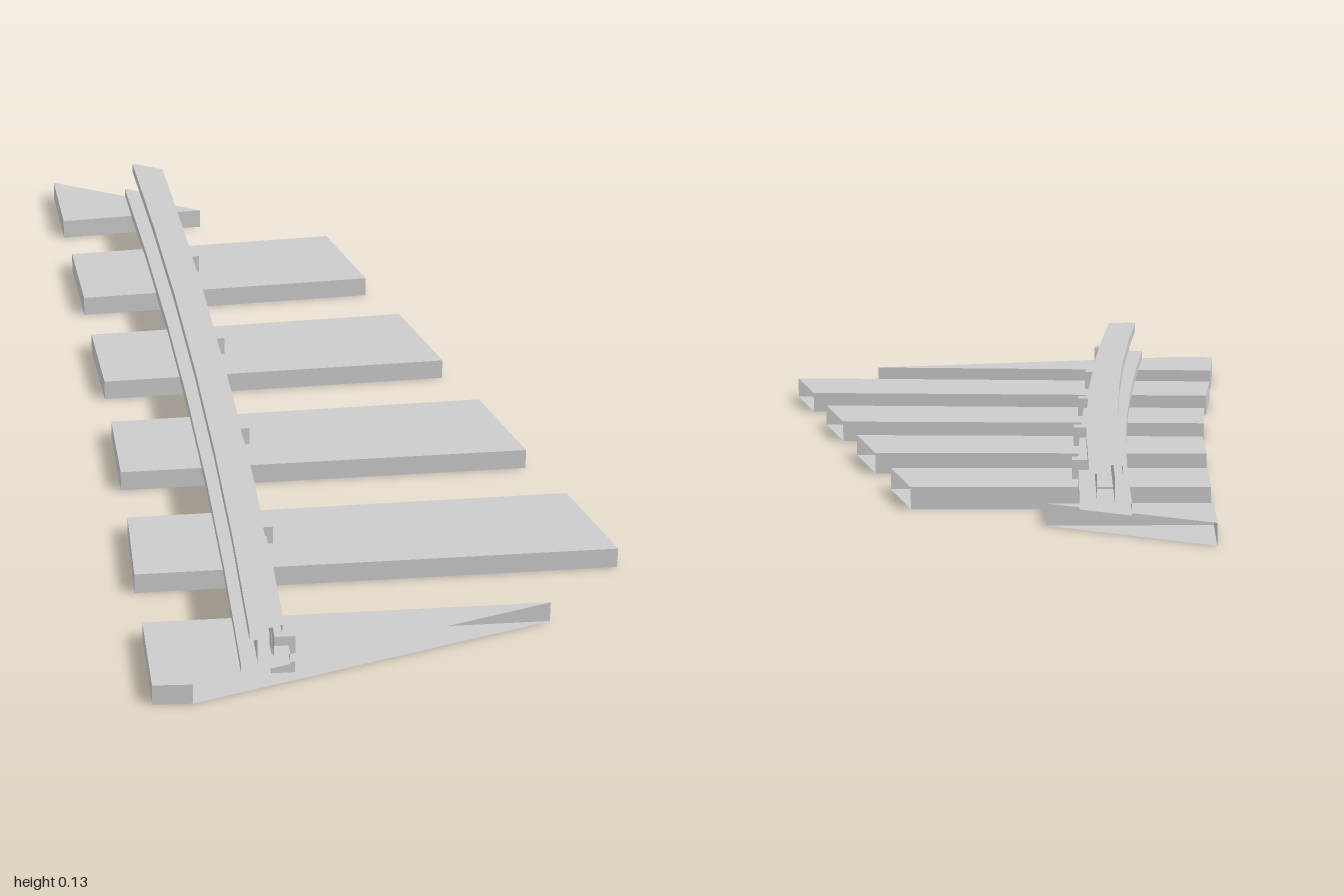
import * as THREE from 'three';

const material = new THREE.MeshStandardMaterial({
  color: 0xcccccc, flatShading: true, side: THREE.DoubleSide,
});

// Rail centre line: x as a gentle curve of z, and its sideways slope
const railX = (z) => -0.003 - 0.257 * z - 0.0267 * z * z;
const slope = (z) => 0.257 + 0.0534 * z;

// Flat-sided mesh from a list of triangle corners
function meshFrom(points, name) {
  const geometry = new THREE.BufferGeometry().setFromPoints(points);
  geometry.computeVertexNormals();
  const mesh = new THREE.Mesh(geometry, material);
  mesh.name = name;
  return mesh;
}

const quad = (a, b, c, d) => [a, b, c, a, c, d];

// Slab with the given outline (clockwise from above); one cut end stays open
function createSleeper(outline, openEdge) {
  const height = 0.042;
  const low = outline.map(([x, z]) => new THREE.Vector3(x, 0, z));
  const high = outline.map(([x, z]) => new THREE.Vector3(x, height, z));
  const points = [];
  const n = outline.length;
  for (let i = 0; i < n; i++) {
    const j = (i + 1) % n;
    if (i !== openEdge) points.push(...quad(low[i], high[i], high[j], low[j]));
    if (i > 0 && i < n - 1) {
      points.push(high[0], high[j], high[i], low[0], low[i], low[j]);
    }
  }
  return meshFrom(points, 'sleeper');
}

// I-section swept along the curve, square at the front, cut diagonally at the back
function createRail() {
  const half = [
    [0.047, 0.038], [0.047, 0.06], [0.016, 0.06],
    [0.016, 0.108], [0.031, 0.108], [0.031, 0.128],
  ];
  const profile = [...half, ...half.map(([u, y]) => [-u, y]).reverse()];
  const segments = 6;

  const at = ([u, y], t) => {
    const offset = u * 1.035;
    let end = -0.83;
    for (let k = 0; k < 8; k++) end = railX(end) + offset - 1.03;
    const z = THREE.MathUtils.lerp(1, end, t);
    return new THREE.Vector3(railX(z) + offset, y, z);
  };

  const points = [];
  for (let s = 0; s < segments; s++) {
    const t0 = s / segments, t1 = (s + 1) / segments;
    profile.forEach((a, i) => {
      const b = profile[(i + 1) % profile.length];
      points.push(...quad(at(a, t0), at(a, t1), at(b, t1), at(b, t0)));
    });
  }
  return meshFrom(points, 'rail');
}

// Block that holds the rail foot on its right-hand side
function createClip(z) {
  const clip = new THREE.Mesh(new THREE.BoxGeometry(0.044, 0.08, 0.038), material);
  const angle = Math.atan(slope(z));
  const u = 0.037;
  clip.position.set(railX(z) + u * Math.cos(angle), 0.04, z + u * Math.sin(angle));
  clip.rotation.y = -angle;
  clip.name = 'railClip';
  return clip;
}

export function createModel() {
  const model = new THREE.Group();
  model.name = 'railTrackSection';

  // Full sleepers, cut off at the right side
  const sleepers = [
    [[-0.057, -0.654], [0.5, -0.522], [0.5, -0.307], [-0.103, -0.453]],
    [[-0.145, -0.294], [0.5, -0.132], [0.5, 0.087], [-0.19, -0.095]],
    [[-0.235, 0.064], [0.5, 0.262], [0.5, 0.482], [-0.288, 0.257]],
    [[-0.336, 0.421], [0.5, 0.66], [0.5, 0.88], [-0.397, 0.617]],
    // Front sleeper, cut off at the front
    [[-0.442, 0.776], [0.295, 1], [-0.43, 1], [-0.5, 0.975]],
  ];
  sleepers.forEach((outline) => model.add(createSleeper(outline, 1)));

  // Back sleeper, cut diagonally
  model.add(createSleeper([[0.025, -1], [0.285, -0.745], [-0.02, -0.81]], 0));

  model.add(createRail());
  for (let i = 0; i < 5; i++) model.add(createClip(-0.505 + i * 0.3615));

  return model;
}
